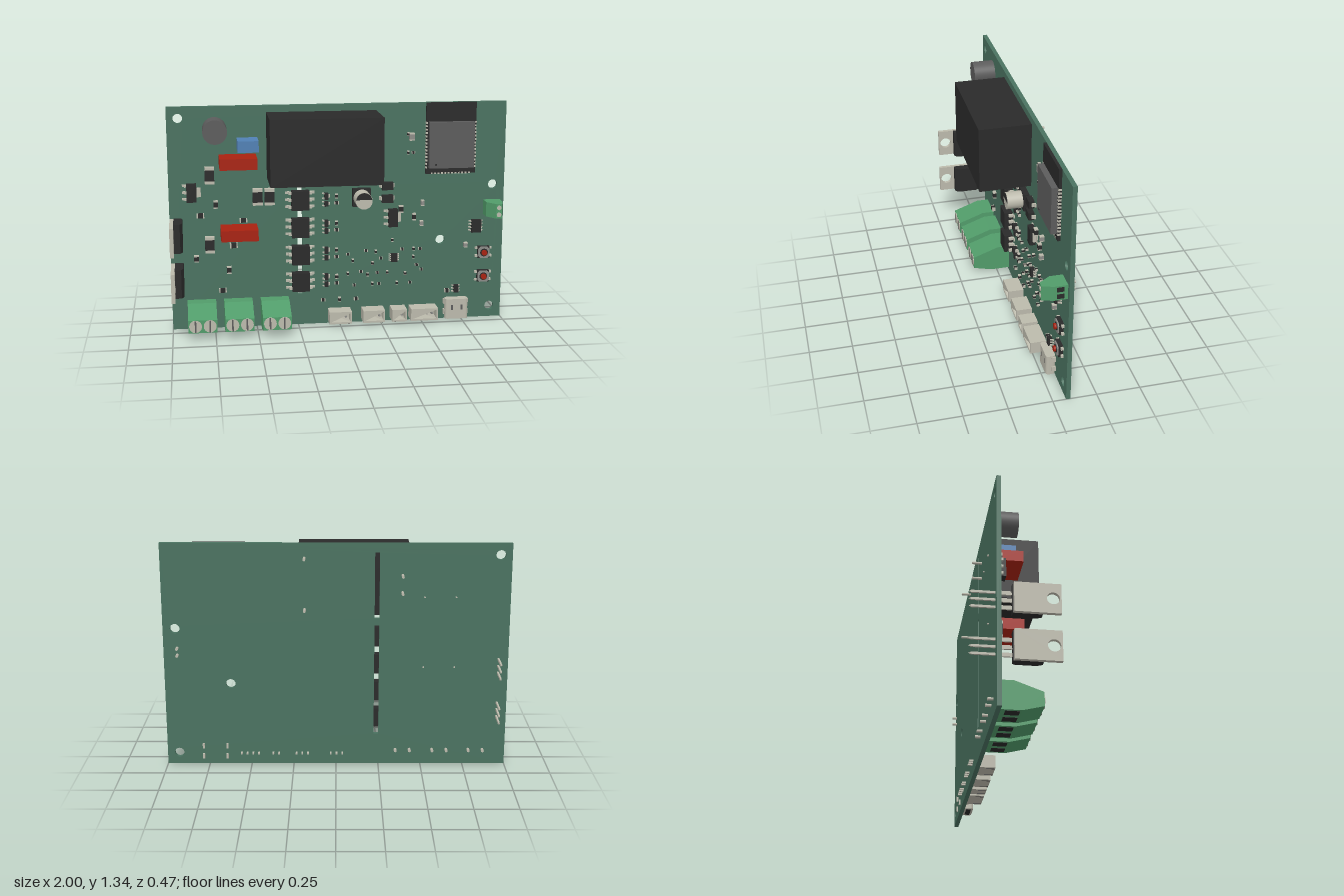
import * as THREE from 'three';

const mat = (name, color) => {
  const m = new THREE.MeshStandardMaterial({ color });
  m.name = name;
  return m;
};
const M = {
  board: mat('board green', 0x4a7260), black: mat('black plastic', 0x2a2a2a),
  gray: mat('dark gray', 0x5c5c5c), red: mat('red', 0xa82210),
  blue: mat('blue', 0x5080b4), green: mat('terminal green', 0x519c6a),
  metal: mat('tin metal', 0xbcbaac), steel: mat('dull gray', 0x8c8c88),
};
const F = -0.075, B = -0.1; // front and back faces of the board

function add(parent, name, geo, material, x = 0, y = 0, z = 0) {
  const mesh = new THREE.Mesh(geo, material);
  mesh.name = name;
  mesh.position.set(x, y, z);
  parent.add(mesh);
  return mesh;
}
// box centred on x, y that spans z0..z1
const box = (p, name, m, x, y, w, h, z0, z1) =>
  add(p, name, new THREE.BoxGeometry(w, h, z1 - z0), m, x, y, (z0 + z1) / 2);
// cylinder along z
const disc = (p, name, m, x, y, r, z0, z1, n = 32) =>
  add(p, name, new THREE.CylinderGeometry(r, r, z1 - z0, n).rotateX(Math.PI / 2), m, x, y, (z0 + z1) / 2);
const group = (p, name, x = 0, y = 0) => {
  const g = new THREE.Group();
  g.name = name;
  g.position.set(x, y, 0);
  p.add(g);
  return g;
};
const polygon = pts => new THREE.Shape(pts.map(([a, b]) => new THREE.Vector2(a, b)));
const rect = (x0, y0, x1, y1) => polygon([[x0, y0], [x1, y0], [x1, y1], [x0, y1]]);
const extrude = (shape, depth) => new THREE.ExtrudeGeometry(shape, { depth, bevelEnabled: false, curveSegments: 16 });
const circle = (x, y, r) => new THREE.Path().absarc(x, y, r, 0, Math.PI * 2, true);

// two-ended surface mount part; the ends lie along the longer side
function chip(p, x, y, w, h, d = 0.018, body = M.black) {
  const g = group(p, 'chipPart', x, y), wide = w > h;
  box(g, 'body', body, 0, 0, wide ? w * 0.64 : w, wide ? h : h * 0.64, F, F + d);
  for (const s of [-1, 1])
    box(g, 'end', M.metal, wide ? s * w * 0.41 : 0, wide ? 0 : s * h * 0.41, wide ? w * 0.18 : w, wide ? h : h * 0.18, F, F + d);
}

// package with stepped leads on its left and right sides
function ic(p, name, x, y, w, h, top, left, right, reach = 0.025) {
  const g = group(p, name, x, y);
  box(g, 'body', M.black, 0, 0, w, h, F + 0.006, top);
  const mid = (F + top) / 2;
  for (const [s, n] of [[-1, left], [1, right]])
    for (let i = 0; i < n; i++) {
      const py = n > 1 ? (i / (n - 1) - 0.5) * h * 0.74 : 0;
      const lw = n === 1 ? h * 0.5 : Math.min(0.02, h * 0.4 / n);
      box(g, 'leadShoulder', M.metal, s * (w / 2 + reach * 0.25), py, reach * 0.5, lw, F + 0.004, mid + 0.004);
      box(g, 'leadFoot', M.metal, s * (w / 2 + reach * 0.65), py, reach * 0.7, lw, F, F + 0.008);
    }
}

function buildBoard(root) {
  const s = rect(-1, 0, 1, 1.335);
  for (const [x, y] of [[-0.935, 1.267], [0.93, 0.834], [0.615, 0.5], [0.93, 0.07]]) s.holes.push(circle(x, y, 0.028));
  for (const [y0, y1] of [[0.19, 0.855], [0.895, 1.28]]) s.holes.push(rect(-0.25, y0, -0.222, y1));
  add(root, 'circuitBoard', extrude(s, F - B), M.board, 0, 0, B);
}

function buildModule(root) {
  const g = group(root, 'radioModule', 0.665, 0);
  box(g, 'moduleBoard', M.black, 0, 1.1225, 0.3, 0.425, F, -0.058);
  box(g, 'shield', M.gray, 0, 1.085, 0.27, 0.275, -0.058, -0.025);
  disc(g, 'shieldDot', M.black, -0.095, 0.97, 0.006, -0.025, -0.023, 12);
  for (let i = 0; i < 14; i++)
    for (const s of [-1, 1]) box(g, 'sidePad', M.metal, s * 0.147, 0.95 + i * 0.0205, 0.01, 0.011, F, -0.056);
  for (let i = 0; i < 12; i++) box(g, 'bottomPad', M.metal, -0.113 + i * 0.0205, 0.913, 0.011, 0.01, F, -0.056);
}

function buildTransistor(root, y) {
  const g = group(root, 'powerTransistor', 0, y);
  // tab profile in the z-y plane, turned so that its thickness runs along x
  const s = rect(-0.235, -0.085, 0.01, 0.085);
  s.holes.push(circle(-0.192, 0, 0.034));
  add(g, 'metalTab', extrude(s, 0.022).rotateY(Math.PI / 2), M.metal, -0.998, 0, 0);
  const b = polygon([[-0.976, -0.015], [-0.935, -0.015], [-0.925, 0.0], [-0.925, 0.11], [-0.94, 0.14], [-0.976, 0.14]]);
  add(g, 'body', extrude(b, 0.17).rotateX(Math.PI / 2), M.black, 0, 0.085, 0);
  for (const o of [-0.042, 0, 0.042]) {
    box(g, 'wideLead', M.metal, -0.943, o, 0.01, 0.022, -0.07, -0.014);
    box(g, 'lead', M.metal, -0.943, o, 0.01, 0.013, -0.225, -0.07);
    add(g, 'leadTip', new THREE.ConeGeometry(0.007, 0.012, 4).rotateX(-Math.PI / 2), M.metal, -0.943, o, -0.231);
  }
}

function buildTerminal(root, x) {
  const g = group(root, 'screwTerminal', x, 0);
  const s = polygon([[0.075, 0.02], [-0.04, 0.02], [-0.152, 0.048], [-0.152, 0.125], [0, 0.18], [0.075, 0.18]].reverse());
  add(g, 'housing', extrude(s, 0.168).rotateY(Math.PI / 2), M.green, -0.084);
  for (const o of [-0.042, 0.042]) {
    disc(g, 'screw', M.metal, o, 0.088, 0.037, 0.15, 0.156);
    box(g, 'screwSlot', M.gray, o, 0.088, 0.009, 0.07, 0.156, 0.158);
    box(g, 'wireOpening', M.black, o, 0.022, 0.055, 0.006, -0.045, 0.03);
    disc(g, 'pin', M.metal, o, 0.09, 0.009, -0.13, B, 8);
  }
}

function buildSocket(root, x, w, n) {
  const g = group(root, 'socket', x, 0.058);
  const s = rect(-w / 2, -0.037, w / 2, 0.037);
  s.holes.push(rect(-w / 2 + 0.009, -0.026, w / 2 - 0.009, 0.028));
  s.holes[0].curves.reverse();
  add(g, 'wall', extrude(s, 0.08), M.metal, 0, 0, -0.06);
  box(g, 'floor', M.metal, 0, 0, w, 0.074, F, -0.06);
  for (const o of [-1, 1]) box(g, 'notch', M.gray, o * (w / 2 - 0.018), -0.0375, 0.01, 0.002, -0.03, 0.018);
  for (let i = 0; i < n; i++) {
    const px = (i - (n - 1) / 2) * 0.034;
    box(g, 'contact', M.steel, px, 0, 0.011, 0.011, -0.06, 0.0);
    box(g, 'pin', M.metal, px, 0.012, 0.01, 0.01, -0.125, B);
  }
}

function buildButton(root, y) {
  const g = group(root, 'pushButton', 0.882, y);
  box(g, 'base', M.black, 0, 0, 0.072, 0.072, F, -0.05);
  const s = polygon([[-0.035, -0.022], [-0.022, -0.035], [0.022, -0.035], [0.035, -0.022], [0.035, 0.022], [0.022, 0.035], [-0.022, 0.035], [-0.035, 0.022]]);
  add(g, 'cover', extrude(s, 0.006), M.steel, 0, 0, -0.05);
  disc(g, 'collar', M.black, 0, 0, 0.024, -0.044, -0.042, 24);
  disc(g, 'cap', M.red, 0, 0, 0.017, -0.044, -0.03, 24);
  for (const sx of [-1, 1]) for (const sy of [-1, 1]) box(g, 'leg', M.metal, sx * 0.043, sy * 0.025, 0.016, 0.014, F, -0.06);
}

function buildUsb(root) {
  const g = group(root, 'usbPort', 0.715, 0.073);
  // rounded shell running along y, with an open mouth at the board edge
  const w = 0.07, s = new THREE.Shape(), r = 0.02;
  s.moveTo(-w + r, 0).lineTo(w - r, 0).quadraticCurveTo(w, 0, w, r).lineTo(w, 0.055 - r).quadraticCurveTo(w, 0.055, w - r, 0.055);
  s.lineTo(-w + r, 0.055).quadraticCurveTo(-w, 0.055, -w, 0.055 - r).lineTo(-w, r).quadraticCurveTo(-w, 0, -w + r, 0);
  add(g, 'shell', extrude(s, 0.124).rotateX(-Math.PI / 2).rotateY(Math.PI).rotateZ(Math.PI), M.metal, 0, 0.062, F);
  box(g, 'mouth', M.black, 0, -0.0625, 0.105, 0.003, F + 0.013, F + 0.042);
  for (const sx of [-1, 1]) for (const y of [-0.025, 0.04]) box(g, 'tab', M.metal, sx * 0.07, y, 0.012, 0.03, -0.11, -0.05);
  for (const sx of [-1, 1]) box(g, 'springSlot', M.gray, sx * 0.03, 0.01, 0.012, 0.03, -0.02, -0.019);
}

function buildCapacitor(root) {
  const g = group(root, 'canCapacitor', 0.13, 0.78);
  box(g, 'base', M.black, 0, 0, 0.108, 0.108, F, -0.04);
  disc(g, 'can', M.metal, 0, 0, 0.05, -0.04, 0.052, 40);
  const cap = new THREE.Shape().absarc(0, 0, 0.048, 0.15, Math.PI - 0.15, false);
  add(g, 'polarityMark', extrude(cap, 0.002), M.black, 0, 0, 0.052);
}

export function createModel() {
  const root = new THREE.Group();
  root.name = 'controlBoard';
  buildBoard(root);
  buildModule(root);

  // large through-hole parts
  box(root, 'relay', M.black, -0.105, 1.1025, 0.645, 0.385, F, 0.223);
  for (const [x, y] of [[0.18, 1.25], [0.18, 0.95], [-0.38, 1.15], [-0.38, 1.05]]) disc(root, 'relayPin', M.metal, x, y, 0.008, -0.155, B, 8);
  disc(root, 'roundCapacitor', M.gray, -0.727, 1.203, 0.07, F, 0.053, 40);
  box(root, 'blueCapacitor', M.blue, -0.54, 1.118, 0.12, 0.066, F, 0.065);
  for (const y of [1.022, 0.603]) {
    box(root, 'redCapacitor', M.red, -0.598, y, 0.215, 0.065, F, 0.09);
    for (const o of [-0.09, 0.09]) disc(root, 'capacitorPin', M.metal, -0.598 + o, y, 0.005, -0.108, B, 8);
  }
  for (const y of [0.61, 0.343]) buildTransistor(root, y);
  for (const x of [-0.826, -0.611, -0.393]) buildTerminal(root, x);
  for (const [x, w, n] of [[-0.003, 0.135, 3], [0.2, 0.132, 3], [0.355, 0.09, 2], [0.508, 0.165, 4]]) buildSocket(root, x, w, n);
  for (const y of [0.417, 0.267]) buildButton(root, y);
  buildUsb(root);
  buildCapacitor(root);

  // small side-entry terminal
  const t = group(root, 'smallTerminal', 0, 0.697);
  const ts = polygon([[0.875, F], [0.975, F], [0.975, 0], [0.955, 0.064], [0.92, 0.064], [0.875, 0]]);
  add(t, 'housing', extrude(ts, 0.088).rotateX(Math.PI / 2), M.green, 0, 0.044, 0);
  for (const o of [-0.021, 0.021]) {
    disc(t, 'screw', M.metal, 0.9375, o, 0.014, 0.062, 0.067, 16);
    box(t, 'wireOpening', M.black, 0.975, o, 0.004, 0.028, -0.055, -0.015);
    disc(t, 'pin', M.metal, 0.92, o, 0.009, -0.13, B, 8);
  }

  // optocouplers over the isolation slot
  for (const y of [0.775, 0.61, 0.443, 0.278]) ic(root, 'optocoupler', -0.236, y, 0.104, 0.114, -0.016, 3, 3, 0.034);

  // regulators, drivers and larger diodes
  ic(root, 'regulator', -0.868, 0.835, 0.058, 0.108, -0.035, 3, 1);
  ic(root, 'regulator', 0.32, 0.65, 0.055, 0.108, -0.035, 3, 1);
  ic(root, 'driver', 0.83, 0.583, 0.058, 0.078, -0.04, 4, 4, 0.014);
  ic(root, 'smallDriver', 0.33, 0.402, 0.04, 0.05, -0.045, 4, 4, 0.012);
  ic(root, 'smallDriver', 0.715, 0.192, 0.028, 0.048, -0.045, 3, 3, 0.012);
  for (const y of [0.845, 0.768]) ic(root, 'diode', 0.285, y, 0.068, 0.045, -0.035, 1, 1, 0.012);
  for (const [x, y, w, h] of [[-0.485, 0.8, 0.058, 0.098], [-0.415, 0.8, 0.058, 0.098], [-0.762, 0.935, 0.055, 0.1], [-0.77, 0.52, 0.055, 0.098]]) chip(root, x, y, w, h, 0.035);

  // medium chips, in hundredths
  for (const [x, y, w, h] of [[-73, 76, 2.6, 4.6], [-82, 69.5, 4.4, 2.6], [-57, 66, 4.4, 2.4], [-85, 43.5, 2.8, 4], [-63, 51, 4.6, 3],
    [-66, 36, 2.8, 4.4], [-70, 23.5, 4.4, 2.4], [37, 70, 2.8, 4.4], [45, 65, 2.2, 4.2], [66, 18, 3, 2]])
    chip(root, x / 100, y / 100, w / 100, h / 100, 0.022);
  for (const [x, y, w, h] of [[43, 113.5, 3, 4.4], [50, 73.5, 2, 3.4], [49.5, 61, 2, 3.2], [77, 46.5, 2.2, 3]])
    chip(root, x / 100, y / 100, w / 100, h / 100, 0.025, M.steel);

  // transistors and resistors in the four repeated driver channels
  for (const y of [0.77, 0.605, 0.44, 0.275]) {
    ic(root, 'smallTransistor', -0.08, y + 0.022, 0.022, 0.04, -0.042, 2, 1, 0.012);
    ic(root, 'smallTransistor', -0.08, y - 0.025, 0.022, 0.03, -0.05, 2, 1, 0.012);
    chip(root, -0.018, y + 0.02, 0.018, 0.026);
    chip(root, -0.018, y - 0.022, 0.026, 0.016);
  }
  // scattered small chips, in hundredths
  const small = [[-10, 15], [0, 15], [10, 15], [5, 31], [9, 23.5], [8, 39], [13, 32], [17, 30], [16, 45], [22, 44], [25, 40], [20, 37],
    [23, 31], [20, 24], [24, 24], [29, 31], [38, 45], [45, 40], [47, 35], [40, 30], [50, 32], [35, 24], [43, 24], [45, 45], [49, 45],
    [32, 51], [5, 43], [41, 104], [44, 104], [41, 115]];
  small.forEach(([x, y], i) => {
    const k = i < 3 ? 0.026 : 0.02;
    chip(root, x / 100, y / 100, i % 2 ? k * 0.65 : k, i % 2 ? k : k * 0.65);
  });
  return root;
}
